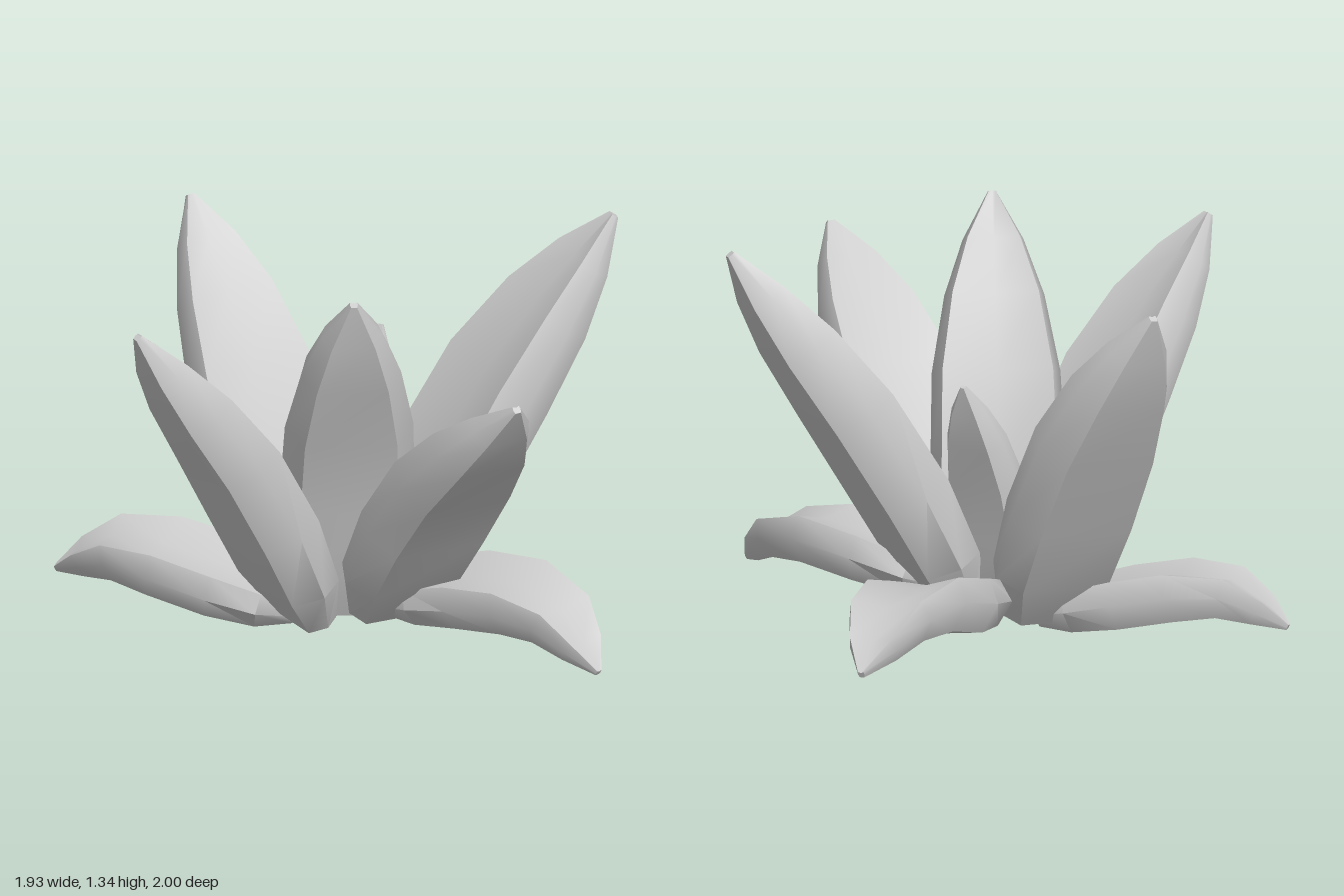
import * as THREE from 'three';
import { toCreasedNormals } from 'three/addons/utils/BufferGeometryUtils.js';

// rings along a leaf: [position, width factor, depth factor]
const RINGS = [
  [0, 0.6, 0.5], [0.13, 0.94, 0.85], [0.32, 1, 1], [0.55, 0.95, 1],
  [0.74, 0.74, 0.85], [0.88, 0.45, 0.55], [1, 0.06, 0.12],
];
// cross-section: flat outer face, bulging sides, shallow trough inside
const SECTION = [[-0.36, -0.5], [0.36, -0.5], [0.5, 0], [0.43, 0.45], [0, 0.28], [-0.43, 0.45], [-0.5, 0]];
const TROUGH = 4; // index of the trough point
const THICKNESS = 0.47; // leaf depth relative to its width

function leafGeometry(width, roll, points) {
  const pts = points.map((p) => new THREE.Vector3(...p));
  const curve = new THREE.CatmullRomCurve3(pts);
  const lean = pts[pts.length - 1].clone().sub(pts[0]).setY(0).normalize();
  const across = new THREE.Vector3(0, 1, 0).cross(lean);
  const n = SECTION.length;
  const pos = [];
  const index = [];
  for (const [t, w, d] of RINGS) {
    const c = curve.getPointAt(t);
    const tangent = curve.getTangentAt(t);
    const side = across.clone().addScaledVector(tangent, -across.dot(tangent)).normalize();
    side.applyAxisAngle(tangent, -roll);
    const inner = tangent.clone().cross(side);
    for (const [a, b] of SECTION) {
      const p = c.clone()
        .addScaledVector(side, a * w * width)
        .addScaledVector(inner, b * d * width * THICKNESS);
      pos.push(p.x, p.y, p.z);
    }
  }
  for (let i = 0; i < RINGS.length - 1; i++) {
    for (let j = 0; j < n; j++) {
      const a = i * n + j;
      const b = i * n + ((j + 1) % n);
      index.push(a, b, b + n, a, b + n, a + n);
    }
  }
  // close the base and the tip, fanning from the trough point
  const last = (RINGS.length - 1) * n;
  for (let j = 0; j < n; j++) {
    const k = (j + 1) % n;
    if (j === TROUGH || k === TROUGH) continue;
    index.push(TROUGH, k, j, last + TROUGH, last + j, last + k);
  }
  const g = new THREE.BufferGeometry();
  g.setAttribute('position', new THREE.Float32BufferAttribute(pos, 3));
  g.setIndex(index);
  return toCreasedNormals(g, 0.9);
}

export function createModel() {
  const group = new THREE.Group();
  group.name = 'succulentPlant';
  const material = new THREE.MeshStandardMaterial({ color: 0xcccccc });
  // each leaf: width, roll about its path, path from base to tip
  const addLeaf = (name, width, roll, ...path) => {
    const leaf = new THREE.Mesh(leafGeometry(width, roll, path), material);
    leaf.name = name;
    group.add(leaf);
  };

  // upright leaves
  addLeaf('frontLeaf', 0.46, 0.12, [-0.08, 0.07, 0.31], [-0.14, 0.65, 0.6], [-0.26, 1.21, 0.99]);
  addLeaf('rightLeaf', 0.46, 0.15, [-0.22, 0.07, 0.12], [-0.48, 0.65, 0.03], [-0.81, 1.23, -0.08]);
  addLeaf('frontInnerLeaf', 0.44, 0, [0, 0.07, 0.2], [0.08, 0.65, 0.29], [0.28, 1.3, 0.54]);
  addLeaf('backLeftLeaf', 0.5, -0.12, [0.08, 0.08, 0.06], [0.24, 0.65, -0.19], [0.54, 1.32, -0.55]);
  addLeaf('leftLeaf', 0.46, 0, [0.15, 0.1, 0.18], [0.46, 0.6, 0.29], [0.92, 1.08, 0.53]);
  addLeaf('heartLeaf', 0.28, 0, [-0.1, 0.07, 0.07], [-0.1, 0.5, -0.02], [-0.13, 0.9, -0.19]);

  // low leaves arching over and drooping at the tip
  addLeaf('leftLowLeaf', 0.35, -0.1, [0.13, 0.12, 0.12], [0.4, 0.18, 0.07], [0.72, 0.19, 0.08], [0.96, 0.04, 0.13]);
  addLeaf('rightLowLeaf', 0.36, 0.1, [-0.17, 0.05, 0.2], [-0.45, 0.12, 0.31], [-0.75, 0.17, 0.4], [-0.96, 0.07, 0.46]);
  addLeaf('backLowLeaf', 0.39, -0.12, [0, 0.1, 0], [-0.11, 0.17, -0.25], [-0.22, 0.28, -0.68], [-0.3, 0.16, -0.99]);
  return group;
}
